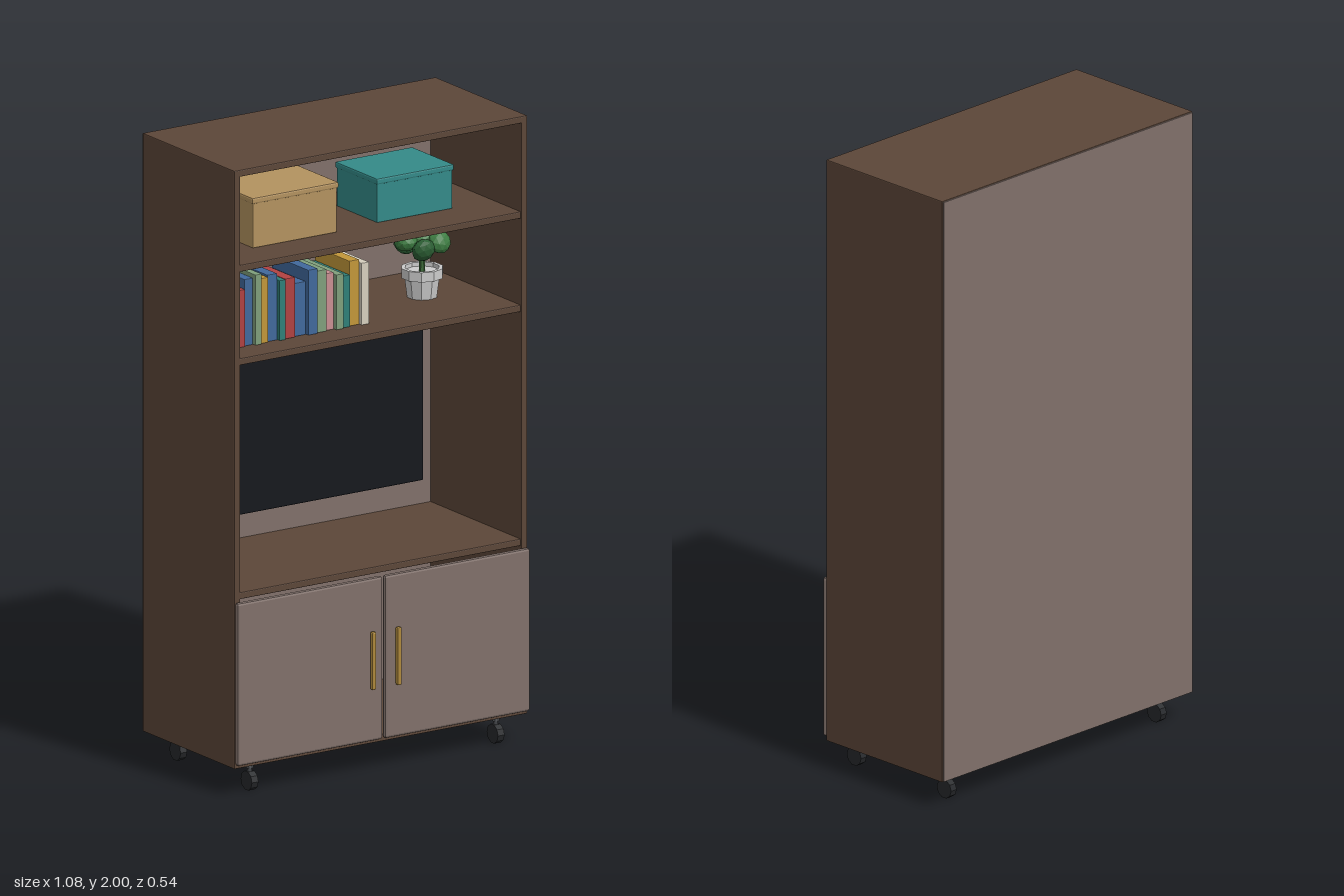
import * as THREE from 'three';
import { RoundedBoxGeometry } from 'three/addons/geometries/RoundedBoxGeometry.js';

const mats = {};
const mat = (color) => (mats[color] ??= new THREE.MeshStandardMaterial({ color, flatShading: true }));

const WOOD = 0x5c4638, PANEL = 0x80706a, GOLD = 0xb08a3c, DARK = 0x26282b;

function add(parent, name, geometry, color, x = 0, y = 0, z = 0) {
  const mesh = new THREE.Mesh(geometry, mat(color));
  mesh.name = name;
  mesh.position.set(x, y, z);
  parent.add(mesh);
  return mesh;
}

// Box given by its limits, with optional chamfered edges
function block(parent, name, color, [x0, x1], [y0, y1], [z0, z1], chamfer = 0) {
  const w = x1 - x0, h = y1 - y0, d = z1 - z0;
  const geometry = chamfer
    ? new RoundedBoxGeometry(w, h, d, 1, chamfer)
    : new THREE.BoxGeometry(w, h, d);
  return add(parent, name, geometry, color, (x0 + x1) / 2, (y0 + y1) / 2, (z0 + z1) / 2);
}

function group(parent, name) {
  const g = new THREE.Group();
  g.name = name;
  parent.add(g);
  return g;
}

function addCarcass(root) {
  const g = group(root, 'carcass');
  const depth = [-0.267, 0.235];
  for (const s of [-1, 1]) {
    const xs = s < 0 ? [-0.542, -0.52] : [0.52, 0.542];
    block(g, s < 0 ? 'rightSide' : 'leftSide', WOOD, xs, [0.09, 2], depth, 0.003);
  }
  block(g, 'topPanel', WOOD, [-0.54, 0.54], [1.978, 2], depth, 0.003);
  block(g, 'bottomPanel', WOOD, [-0.54, 0.54], [0.09, 0.112], depth, 0.003);
  block(g, 'backPanel', PANEL, [-0.538, 0.538], [0.093, 1.997], [-0.272, -0.262]);
  const shelves = [['upperShelf', 1.673, 1.695], ['middleShelf', 1.375, 1.397], ['screenShelf', 0.628, 0.65]];
  for (const [name, y0, y1] of shelves) {
    block(g, name, WOOD, [-0.522, 0.522], [y0, y1], [-0.264, 0.231], 0.003);
  }
}

function addDoors(root) {
  for (const s of [-1, 1]) {
    const g = group(root, s < 0 ? 'rightDoor' : 'leftDoor');
    const xs = s < 0 ? [-0.541, -0.004] : [0.004, 0.541];
    block(g, 'doorPanel', PANEL, xs, [0.102, 0.623], [0.235, 0.253], 0.008);
    const x = s * 0.047;
    block(g, 'handle', GOLD, [x - 0.008, x + 0.008], [0.27, 0.455], [0.255, 0.271], 0.005);
    for (const y of [0.3, 0.425]) {
      block(g, 'handlePost', GOLD, [x - 0.004, x + 0.004], [y - 0.004, y + 0.004], [0.25, 0.26]);
    }
  }
}

function addCasters(root) {
  for (const x of [-0.455, 0.455]) {
    for (const z of [0.19, -0.2]) {
      const g = group(root, 'caster');
      g.position.set(x, 0, z);
      const wheel = new THREE.CylinderGeometry(0.031, 0.031, 0.024, 10).rotateZ(Math.PI / 2);
      add(g, 'wheel', wheel, DARK, 0, 0.031, 0);
      add(g, 'stem', new THREE.CylinderGeometry(0.008, 0.008, 0.03, 8), 0x55585c, 0, 0.072, 0);
      add(g, 'collar', new THREE.CylinderGeometry(0.012, 0.012, 0.012, 8), 0x55585c, 0, 0.077, 0);
    }
  }
}

// Storage box with a slightly overhanging lid
function addStorageBox(root, name, color, [x0, x1], top, [z0, z1]) {
  const g = group(root, name);
  block(g, 'boxBody', color, [x0 + 0.004, x1 - 0.004], [1.695, top - 0.01], [z0 + 0.004, z1 - 0.004], 0.003);
  block(g, 'boxLid', color, [x0, x1], [top - 0.02, top], [z0, z1], 0.005);
}

function addBooks(root) {
  const g = group(root, 'books');
  const teal = 0x2f7f78, red = 0xb04242, blue = 0x41699c, sage = 0x7f9f7c;
  const gold = 0xc2973a, pink = 0xc98f92, cream = 0xd6cfbe;
  // width, height, colour
  const books = [
    [0.020, 0.215, teal], [0.026, 0.183, red], [0.031, 0.213, blue], [0.024, 0.225, sage],
    [0.026, 0.208, gold], [0.036, 0.213, blue], [0.023, 0.192, teal], [0.037, 0.192, red],
    [0.042, 0.170, blue], [0.036, 0.208, blue], [0.035, 0.198, sage], [0.029, 0.182, pink],
    [0.028, 0.176, sage], [0.026, 0.166, teal], [0.036, 0.208, gold], [0.028, 0.198, cream],
  ];
  let x = -0.48;
  books.forEach(([w, h, color], i) => {
    const front = 0.14 - 0.006 * (i % 3);
    block(g, 'book', color, [x, x + w], [1.397, 1.397 + h], [-0.06, front], 0.002);
    x += w + 0.0012;
  });
}

function addPlant(root) {
  const g = group(root, 'pottedPlant');
  g.position.set(0.325, 1.397, -0.02);
  const profile = [[0, 0], [0.048, 0], [0.056, 0.062], [0.066, 0.062], [0.066, 0.093], [0.054, 0.093], [0.054, 0.08], [0, 0.08]];
  const pot = new THREE.LatheGeometry(profile.map(([r, y]) => new THREE.Vector2(r, y)), 10);
  add(g, 'pot', pot, 0xcccccc);
  add(g, 'plantStem', new THREE.CylinderGeometry(0.008, 0.01, 0.07, 6), 0x3d6b3a, 0, 0.105, 0);
  // A central clump ringed by smaller clumps
  const clump = (r, x, y, z, turn, color) => {
    const m = add(g, 'leafClump', new THREE.IcosahedronGeometry(r, 1), color, x, y, z);
    m.scale.y = 0.75;
    m.rotation.set(turn, turn * 1.7, 0);
  };
  clump(0.052, 0, 0.187, 0, 0.4, 0x3b7a40);
  for (let i = 0; i < 6; i++) {
    const a = (i / 6) * Math.PI * 2;
    clump(0.038, Math.cos(a) * 0.058, 0.163 + (i % 2) * 0.018, Math.sin(a) * 0.058, i, i % 2 ? 0x3b7a40 : 0x2c5f34);
  }
}

export function createModel() {
  const root = new THREE.Group();
  root.name = 'mediaCabinet';
  addCarcass(root);
  addDoors(root);
  addCasters(root);
  block(root, 'screen', 0x15181d, [-0.473, 0.473], [0.733, 1.294], [-0.264, -0.23], 0.005);
  addStorageBox(root, 'tanBox', 0xb3925f, [-0.387, -0.067], 1.856, [-0.145, 0.105]);
  addStorageBox(root, 'tealBox', 0x348a88, [0.083, 0.37], 1.837, [-0.14, 0.09]);
  addBooks(root);
  addPlant(root);
  return root;
}
